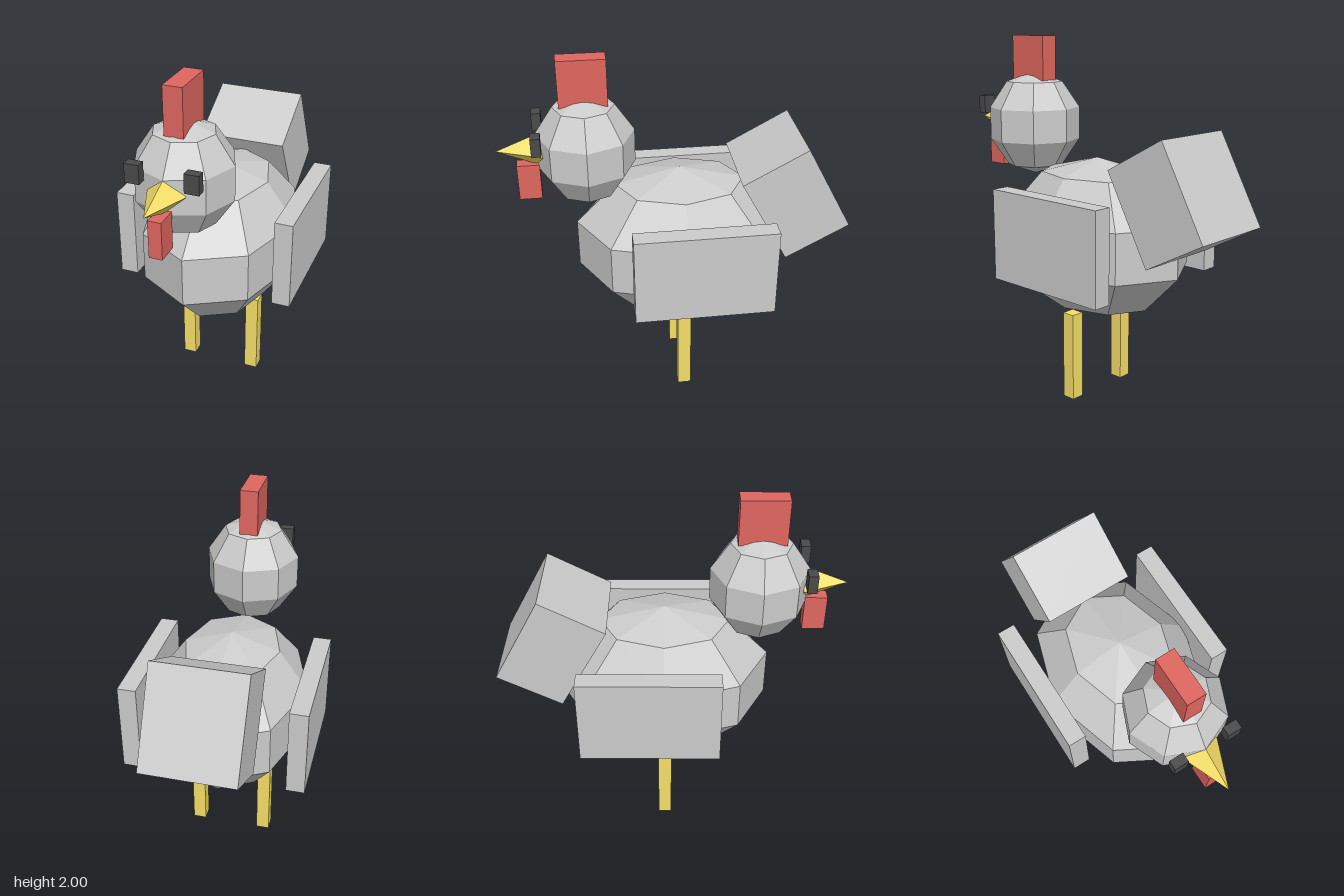
import * as THREE from 'three';

const material = (color) => new THREE.MeshStandardMaterial({ color, flatShading: true });

export function createModel() {
  const model = new THREE.Group();
  model.name = 'chicken';
  const grey = material(0xcccccc);
  const red = material(0xe0665f);
  const yellow = material(0xf5de68);
  const dark = material(0x4a4a4a);

  const add = (name, geometry, mat, x, y, z) => {
    const mesh = new THREE.Mesh(geometry, mat);
    mesh.name = name;
    mesh.position.set(x, y, z);
    model.add(mesh);
    return mesh;
  };
  const box = (name, mat, size, pos) => add(name, new THREE.BoxGeometry(...size), mat, ...pos);
  // Low-poly ball stretched to the given radii
  const ball = (name, radii, pos) =>
    add(name, new THREE.SphereGeometry(1, 8, 5).scale(...radii), grey, ...pos);

  // Body and head
  ball('body', [0.447, 0.447, 0.6], [0, 0.905, -0.033]);
  ball('head', [0.273, 0.297, 0.273], [0, 1.5, 0.465]);

  // Tilted tail block
  box('tail', grey, [0.495, 0.54, 0.39], [0, 1.203, -0.633]).rotation.x = 0.5;

  // Comb and wattle
  box('comb', red, [0.1, 0.25, 0.25], [0, 1.875, 0.465]);
  box('wattle', red, [0.07, 0.2, 0.12], [0, 1.33, 0.77]);

  // Four-sided beak pointing forward
  const beak = new THREE.ConeGeometry(0.1, 0.245, 4).rotateX(Math.PI / 2);
  add('beak', beak, yellow, 0, 1.505, 0.81);

  // Mirrored pairs
  for (const [side, s] of [['left', 1], ['right', -1]]) {
    box(side + 'Eye', dark, [0.075, 0.1, 0.05], [s * 0.15, 1.605, 0.715]);
    box(side + 'Wing', grey, [0.1, 0.5, 0.75], [s * 0.45, 0.953, -0.11]);
    box(side + 'Leg', yellow, [0.075, 0.5, 0.075], [s * 0.2, 0.25, -0.033]);
  }
  return model;
}
